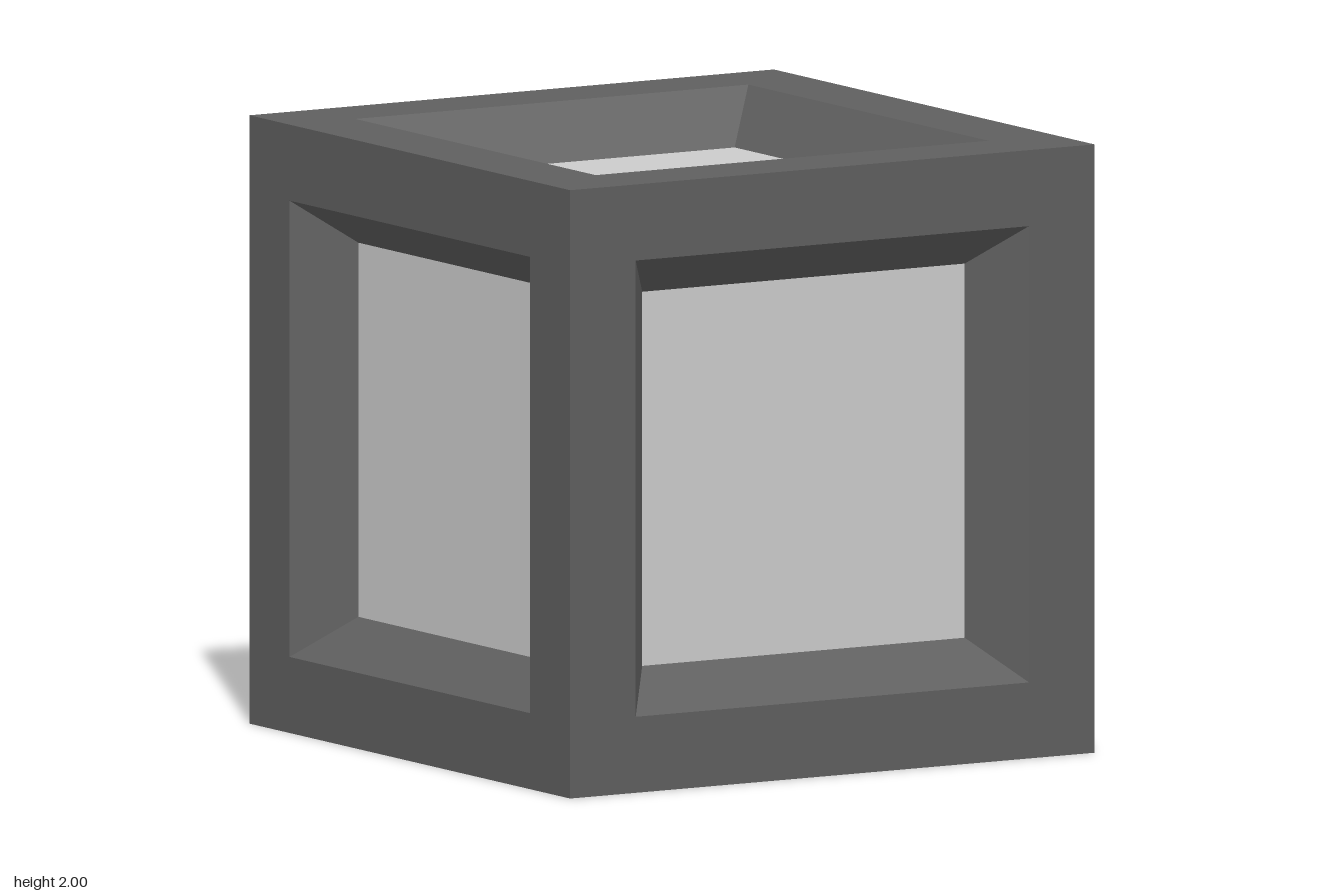
import * as THREE from 'three';

const HALF = 1;        // half the cube's edge
const OPENING = 0.75;  // half width of the recess at the surface
const PANEL = 0.615;   // half width of the sunken panel
const DEPTH = 0.18;    // depth of the recess

// Square frame with a sloped inner rim, facing +y: a four-sided lathe
function frameGeometry() {
  const profile = [[HALF, HALF], [OPENING, HALF], [PANEL, HALF - DEPTH]]
    .map(([r, y]) => new THREE.Vector2(r * Math.SQRT2, y));
  const geometry = new THREE.LatheGeometry(profile, 4, Math.PI / 4).toNonIndexed();
  geometry.computeVertexNormals();
  return geometry;
}

// Flat sunken panel, facing +y
function panelGeometry() {
  return new THREE.PlaneGeometry(2 * PANEL, 2 * PANEL)
    .rotateX(-Math.PI / 2)
    .translate(0, HALF - DEPTH, 0);
}

export function createModel() {
  const model = new THREE.Group();
  model.name = 'framedCube';

  const frameMaterial = new THREE.MeshStandardMaterial({ color: 0x5f5f5f, flatShading: true });
  const panelMaterial = new THREE.MeshStandardMaterial({ color: 0xcccccc });
  const frame = frameGeometry();
  const panel = panelGeometry();

  // Turn the same side onto all six faces of the cube
  const q = Math.PI / 2;
  const sides = {
    top: [0, 0], front: [q, 0], bottom: [2 * q, 0],
    back: [-q, 0], left: [0, -q], right: [0, q],
  };
  for (const [name, [rx, rz]] of Object.entries(sides)) {
    const side = new THREE.Group();
    side.name = `${name}Side`;
    const frameMesh = new THREE.Mesh(frame, frameMaterial);
    frameMesh.name = `${name}Frame`;
    const panelMesh = new THREE.Mesh(panel, panelMaterial);
    panelMesh.name = `${name}Panel`;
    side.add(frameMesh, panelMesh);
    side.rotation.set(rx, 0, rz);
    side.position.y = HALF;
    model.add(side);
  }
  return model;
}
